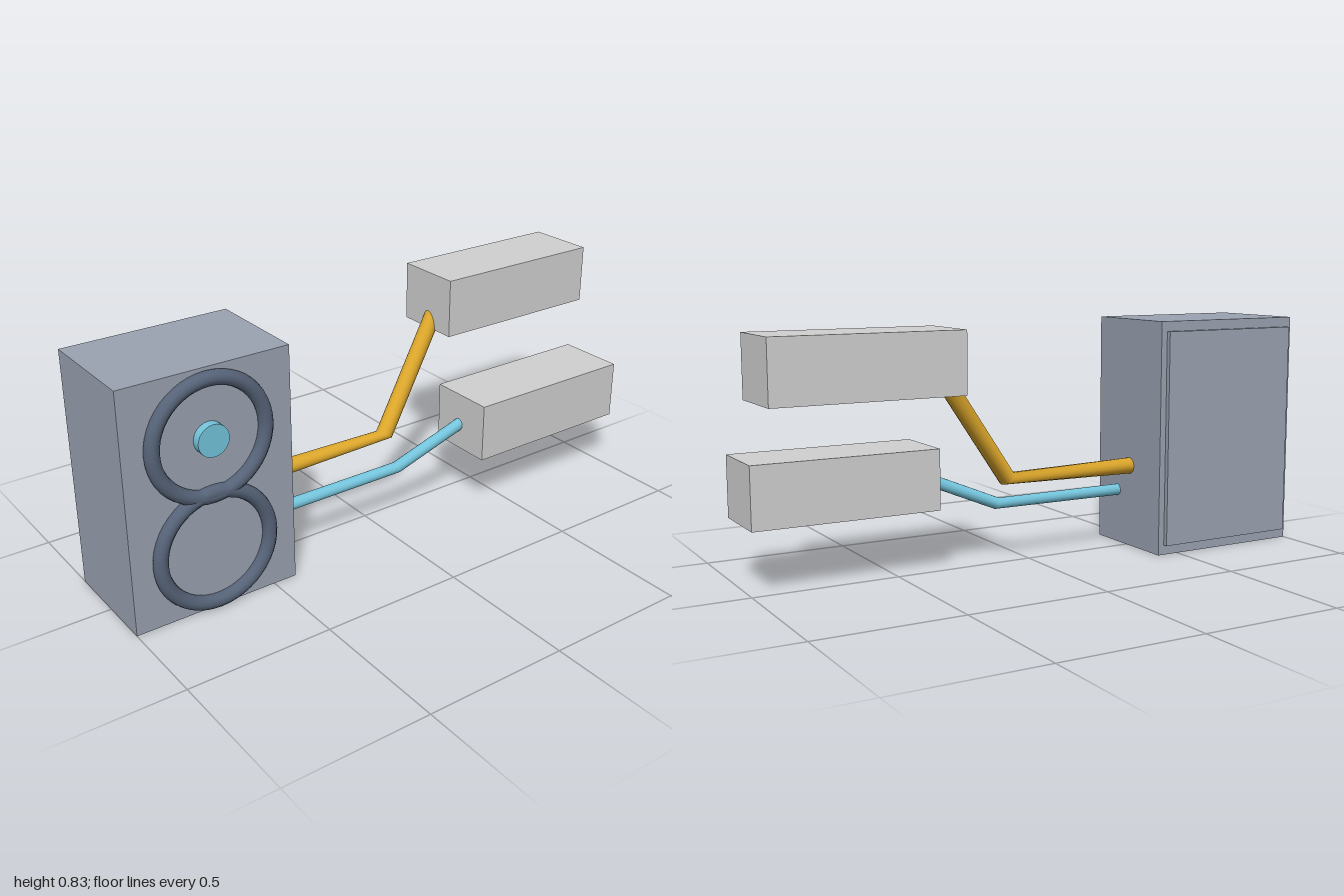
import * as THREE from 'three';

const mat = (name, color) => {
  const m = new THREE.MeshStandardMaterial({ color });
  m.name = name;
  return m;
};

// Round pipe through a start, a bend and an end; the bend ring faces the second run
function pipeGeometry(points, radius, sides = 16) {
  const [a, b, c] = points.map(p => new THREE.Vector3(...p));
  const d1 = b.clone().sub(a).normalize();
  const d2 = c.clone().sub(b).normalize();
  const rings = [[a, d1], [b, d2], [c, d2]];
  const zAxis = new THREE.Vector3(0, 0, 1);
  const pos = [], index = [];
  rings.forEach(([p, d], i) => {
    const u = zAxis.clone().cross(d).normalize();
    const v = d.clone().cross(u);
    for (let j = 0; j < sides; j++) {
      const t = (j / sides) * Math.PI * 2;
      const q = p.clone()
        .addScaledVector(u, Math.cos(t) * radius)
        .addScaledVector(v, Math.sin(t) * radius);
      pos.push(q.x, q.y, q.z);
      if (i < 2) {
        const k = i * sides + j, n = i * sides + (j + 1) % sides;
        index.push(k, n, k + sides, n, n + sides, k + sides);
      }
    }
  });
  const g = new THREE.BufferGeometry();
  g.setAttribute('position', new THREE.Float32BufferAttribute(pos, 3));
  g.setIndex(index);
  g.computeVertexNormals();
  return g;
}

export function createModel() {
  const model = new THREE.Group();
  model.name = 'splitHeatPump';

  const cabinetGrey = mat('cabinetGrey', 0x9aa2b0);
  const ringSlate = mat('ringSlate', 0x566378);
  const indoorGrey = mat('indoorGrey', 0xd0d0d0);
  const brass = mat('brass', 0xdaa52a);
  const skyBlue = mat('skyBlue', 0x74c4dc);

  const add = (name, geometry, material, x = 0, y = 0, z = 0) => {
    const mesh = new THREE.Mesh(geometry, material);
    mesh.name = name;
    mesh.position.set(x, y, z);
    model.add(mesh);
    return mesh;
  };
  // Box given by its minimum and maximum corners
  const box = (name, material, [x0, y0, z0], [x1, y1, z1]) =>
    add(name, new THREE.BoxGeometry(x1 - x0, y1 - y0, z1 - z0), material,
      (x0 + x1) / 2, (y0 + y1) / 2, (z0 + z1) / 2);

  // Outdoor cabinet with a raised back panel
  box('cabinet', cabinetGrey, [-1, 0.005, -0.2], [-0.417, 0.835, 0.18]);
  box('backPanel', cabinetGrey, [-0.98, 0.04, -0.217], [-0.44, 0.8, -0.2]);

  // Fan rings and the hub of the upper fan
  const ring = new THREE.TorusGeometry(0.195, 0.025, 12, 48);
  add('upperFanRing', ring, ringSlate, -0.709, 0.605, 0.185);
  add('lowerFanRing', ring, ringSlate, -0.709, 0.225, 0.185);
  const hub = add('fanHub', new THREE.CylinderGeometry(0.054, 0.054, 0.04, 24), skyBlue, -0.709, 0.605, 0.19);
  hub.rotation.x = Math.PI / 2;

  // Indoor units
  box('upperIndoorUnit', indoorGrey, [0.352, 0.625, -0.223], [1, 0.833, 0.022]);
  box('lowerIndoorUnit', indoorGrey, [0.352, 0.218, -0.02], [1, 0.427, 0.225]);

  // Pipes running from the cabinet to the indoor units
  add('thickPipe', pipeGeometry([[-0.44, 0.302, -0.013], [0.094, 0.302, -0.013], [0.38, 0.676, -0.098]], 0.03), brass);
  add('thinPipe', pipeGeometry([[-0.44, 0.201, 0.062], [0.094, 0.201, 0.062], [0.38, 0.32, 0.094]], 0.021), skyBlue);

  return model;
}
